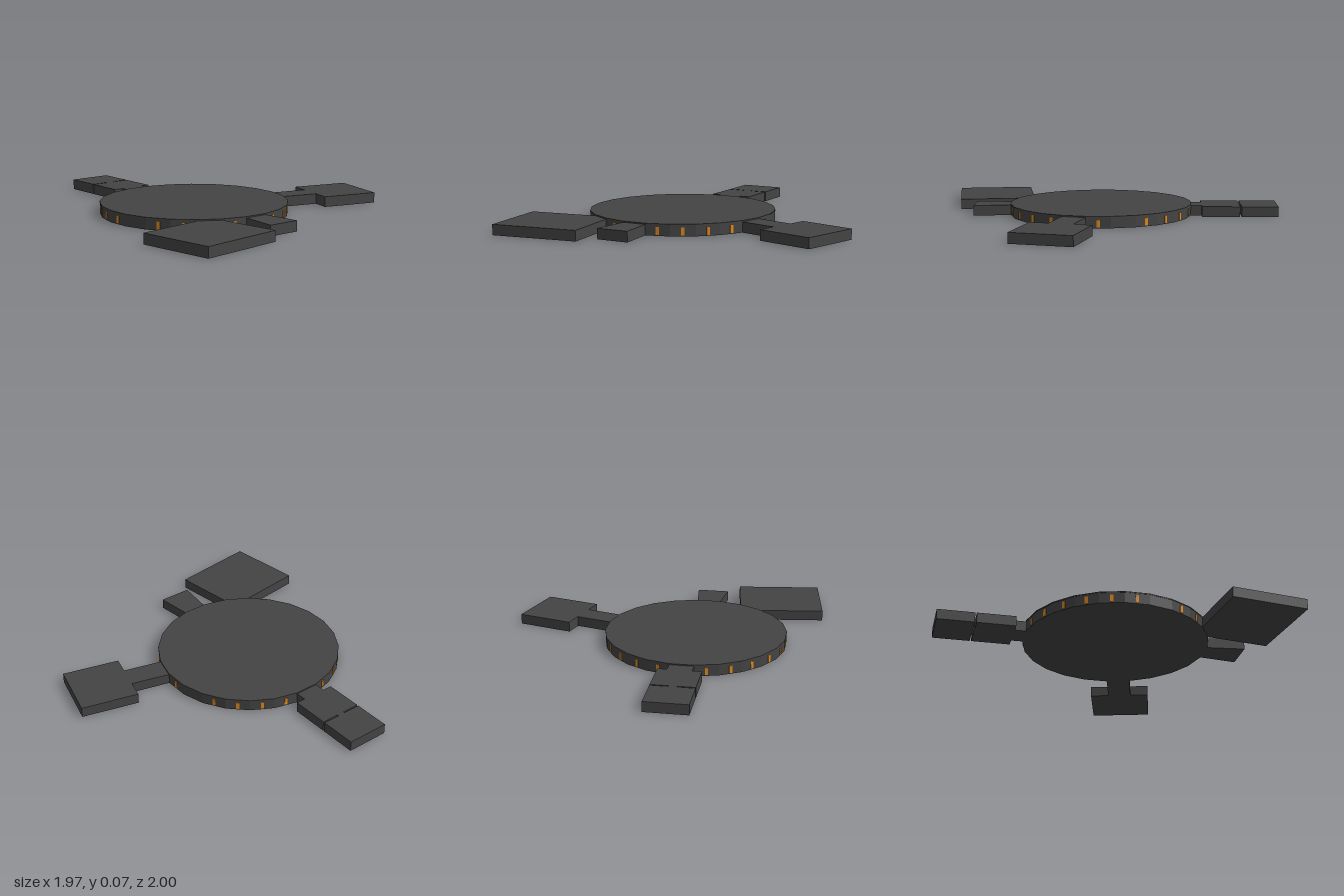
import * as THREE from 'three';

const HEIGHT = 0.064;      // thickness of the platforms
const RADIUS = 0.57;       // corner radius of the 24-sided hub
const SIDES = 24;
const APOTHEM = RADIUS * Math.cos(Math.PI / SIDES);
const FACET = 2 * RADIUS * Math.sin(Math.PI / SIDES);
const rad = THREE.MathUtils.degToRad;

const dark = new THREE.MeshStandardMaterial({ color: 0x444444, flatShading: true });
const orange = new THREE.MeshStandardMaterial({ color: 0xe08a1e, flatShading: true });

function add(parent, name, geometry, material = dark) {
  const mesh = new THREE.Mesh(geometry, material);
  mesh.name = name;
  parent.add(mesh);
  return mesh;
}

// Flat slab standing on the ground from an [x, z] outline
function slab(outline) {
  const shape = new THREE.Shape(outline.map(([x, z]) => new THREE.Vector2(x, -z)));
  return new THREE.ExtrudeGeometry(shape, { depth: HEIGHT, bevelEnabled: false }).rotateX(-Math.PI / 2);
}

// Outline symmetric about the local z axis, from [halfWidth, z] steps
function symmetric(steps) {
  return [...steps, ...[...steps].reverse().map(([w, z]) => [-w, z])];
}

// Group whose +z points outward through a hub facet
function spoke(parent, name, degrees) {
  const group = new THREE.Group();
  group.name = name;
  group.rotation.y = rad(degrees);
  parent.add(group);
  return group;
}

export function createModel() {
  const model = new THREE.Group();
  model.name = 'hubWithPlatforms';

  const hub = new THREE.Group();
  hub.name = 'hub';
  hub.position.set(-0.165, 0, 0.118);
  model.add(hub);

  // Round hub with a thin roof plate
  add(hub, 'hubBody', new THREE.CylinderGeometry(RADIUS, RADIUS, 0.065, SIDES)).position.y = 0.0325;
  add(hub, 'hubRoof', new THREE.CylinderGeometry(RADIUS + 0.002, RADIUS + 0.002, 0.007, SIDES)).position.y = 0.0685;

  // Orange strips in the middle of the free facets
  const occupied = [-7.5, -37.5, 67.5, 97.5, 172.5, 277.5];
  for (let i = 0; i < SIDES; i++) {
    const angle = -52.5 + i * 15;
    if (occupied.includes(angle)) continue;
    const strip = add(spoke(hub, 'facetStrip', angle), 'strip', new THREE.BoxGeometry(0.019, 0.046, 0.008), orange);
    strip.position.set(0, 0.029, APOTHEM);
  }

  const neck = FACET / 2;

  // Rear arm: neck, inner platform, narrow bridge, outer platform
  const rear = spoke(hub, 'rearArm', 172.5);
  add(rear, 'innerPlatform', slab(symmetric([
    [neck, APOTHEM], [neck, 0.634], [0.133, 0.634], [0.133, 0.871],
    [0.025, 0.871], [0.025, 0.881], [0.133, 0.881], [0.133, 1.11],
  ])));

  // Side arm: long neck and square platform
  const side = spoke(hub, 'sideArm', 67.5);
  add(side, 'sidePlatform', slab(symmetric([
    [neck, APOTHEM], [neck, 0.806], [0.19, 0.806], [0.19, 1.162],
  ])));

  // Small flared ramp at the front
  const front = spoke(hub, 'frontRamp', -7.5);
  add(front, 'ramp', slab(symmetric([[neck, APOTHEM], [0.101, 0.797]])));

  // Large corner platform, cut to meet the hub facet
  add(model, 'cornerPlatform', slab([
    [-0.99, 0.523], [-0.568, 0.523], [-0.452, 0.612], [-0.452, 1.0], [-0.99, 1.0],
  ]));

  return model;
}
